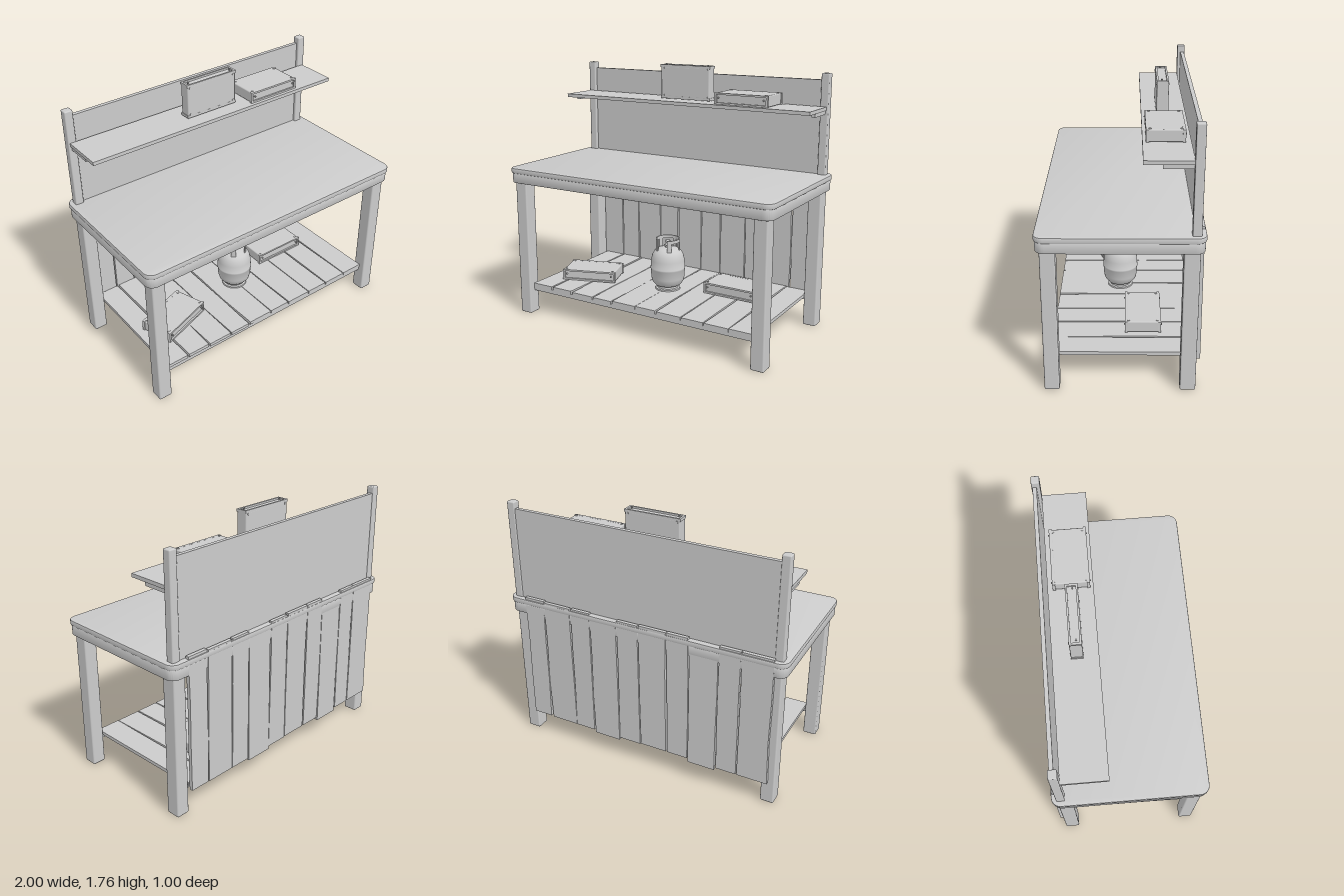
import * as THREE from 'three';
import { RoundedBoxGeometry } from 'three/addons/geometries/RoundedBoxGeometry.js';
import { toCreasedNormals } from 'three/addons/utils/BufferGeometryUtils.js';

const grey = new THREE.MeshStandardMaterial({ color: 0xcccccc, side: THREE.DoubleSide });

function add(parent, name, geometry, x = 0, y = 0, z = 0) {
  const mesh = new THREE.Mesh(geometry, grey);
  mesh.name = name;
  mesh.position.set(x, y, z);
  parent.add(mesh);
  return mesh;
}

// Block given by its minimum and maximum corners, with softened edges if r > 0
function block(parent, name, [x0, y0, z0], [x1, y1, z1], r = 0) {
  const size = [x1 - x0, y1 - y0, z1 - z0];
  const geometry = r ? new RoundedBoxGeometry(...size, 2, r) : new THREE.BoxGeometry(...size);
  return add(parent, name, geometry, (x0 + x1) / 2, (y0 + y1) / 2, (z0 + z1) / 2);
}

let seed = 7;
function wobble(amount) {
  seed = (seed * 16807) % 2147483647;
  return (seed / 2147483647 - 0.5) * 2 * amount;
}

// Horizontal slab with rounded corners and a small bevel
function slab(halfX, halfZ, radius, y0, y1, bevel) {
  const x = halfX - bevel, z = halfZ - bevel, r = radius;
  const s = new THREE.Shape();
  s.moveTo(-x + r, -z);
  s.lineTo(x - r, -z).absarc(x - r, -z + r, r, -Math.PI / 2, 0);
  s.lineTo(x, z - r).absarc(x - r, z - r, r, 0, Math.PI / 2);
  s.lineTo(-x + r, z).absarc(-x + r, z - r, r, Math.PI / 2, Math.PI);
  s.lineTo(-x, -z + r).absarc(-x + r, -z + r, r, Math.PI, Math.PI * 1.5);
  const g = new THREE.ExtrudeGeometry(s, {
    depth: y1 - y0 - 2 * bevel, bevelSize: bevel, bevelThickness: bevel, bevelSegments: 2, curveSegments: 8,
  });
  g.rotateX(-Math.PI / 2).translate(0, y0 + bevel, 0);
  return toCreasedNormals(g, 0.6);
}

// Rough row of planks; long = 'y' for the back, 'z' for the lower shelf
function planks(parent, name, seams, long, min, max, thickness) {
  for (let i = 0; i < seams.length - 1; i++) {
    const w = seams[i + 1] - seams[i] - 0.008;
    const length = max - min;
    const g = long === 'y' ? new THREE.BoxGeometry(w, length, thickness, 1, 3, 1)
      : new THREE.BoxGeometry(w, thickness, length, 1, 1, 3);
    const p = g.attributes.position;
    const shifts = Array.from({ length: 8 }, () => wobble(0.004));
    const tilt = wobble(0.003);
    for (let k = 0; k < p.count; k++) {
      const t = (long === 'y' ? p.getY(k) : p.getZ(k)) / length + 0.5;
      const side = p.getX(k) > 0 ? 4 : 0;
      p.setX(k, p.getX(k) + shifts[side + Math.round(t * 3)]);
      const lift = tilt * (t - 0.5) * 2;
      if (long === 'y') p.setZ(k, p.getZ(k) + lift);
      else p.setY(k, p.getY(k) + lift);
    }
    const plank = add(parent, name, toCreasedNormals(g, 0.3), (seams[i] + seams[i + 1]) / 2);
    const end = (i === 2 || i === 6) ? -0.02 : wobble(0.004);
    if (long === 'y') plank.position.set(plank.position.x, (min + max) / 2 + end, -0.484);
    else plank.position.set(plank.position.x, 0.207 + wobble(0.003), (min + max) / 2);
  }
}

// Flat case: main faces up and down, recessed framed faces at front and back
function makeCase(parent, x, y, z) {
  const box = new THREE.Group();
  box.name = 'storageCase';
  box.position.set(x, y, z);
  parent.add(box);
  const w = 0.195, h = 0.038, d = 0.117;
  block(box, 'caseBody', [-w + 0.004, -h, -d + 0.012], [w - 0.004, h, d - 0.012], 0.008);
  for (const s of [-1, 1]) {
    const frame = new THREE.Shape();
    frame.moveTo(-w, -h).lineTo(w, -h).lineTo(w, h).lineTo(-w, h).closePath();
    const hole = new THREE.Path();
    const a = w - 0.014, b = h - 0.012;
    hole.moveTo(-a, -b).lineTo(-a, b).lineTo(a, b).lineTo(a, -b).closePath();
    frame.holes.push(hole);
    add(box, 'caseRim', new THREE.ExtrudeGeometry(frame, { depth: 0.018, bevelEnabled: false }),
      0, 0, s > 0 ? d - 0.018 : -d);
    for (const sx of [-1, 1]) {
      for (const sz of [-1, 1]) {
        add(box, 'caseScrew', new THREE.CylinderGeometry(0.008, 0.008, 0.008, 12), sx * 0.172, s * h, sz * 0.093);
      }
      const stud = add(box, 'caseStud', new THREE.CylinderGeometry(0.005, 0.006, 0.012, 10), sx * 0.165, 0.006, s * d);
      stud.rotation.x = Math.PI / 2;
    }
  }
  return box;
}

function makeGasBottle() {
  const bottle = new THREE.Group();
  bottle.name = 'gasBottle';
  bottle.position.set(0, 0.218, 0.006);
  const lathe = (name, pts) => add(bottle, name, toCreasedNormals(
    new THREE.LatheGeometry(pts.map(([r, y]) => new THREE.Vector2(r, y)), 40), 0.7));
  lathe('bottleBody', [[0, 0.022], [0.06, 0.024], [0.09, 0.037], [0.108, 0.06], [0.116, 0.09], [0.12, 0.15],
    [0.122, 0.153], [0.122, 0.163], [0.12, 0.166], [0.117, 0.215], [0.109, 0.25], [0.094, 0.277],
    [0.07, 0.294], [0.035, 0.302], [0, 0.303]]);
  lathe('footRing', [[0.07, 0.04], [0.074, 0.016], [0.086, 0.012], [0.088, 0], [0.078, 0], [0.066, 0.014], [0.062, 0.04]]);
  // Guard collar with one opening towards the front
  const arc = (name, from, sweep, y0, y1) => {
    const wall = new THREE.Shape();
    wall.absarc(0, 0, 0.084, from, from + sweep, false);
    wall.absarc(0, 0, 0.076, from + sweep, from, true);
    const g = new THREE.ExtrudeGeometry(wall, { depth: y1 - y0, bevelEnabled: false, curveSegments: 28 });
    add(bottle, name, toCreasedNormals(g.rotateX(-Math.PI / 2), 0.6), 0, y0, 0);
  };
  arc('collarRing', -1.1, Math.PI * 2 - 0.95, 0.345, 0.368);
  for (const angle of [-1.1, 0.25, 1.25, 2.6, 3.8]) arc('collarPost', angle, 0.4, 0.275, 0.35);
  // Valve
  add(bottle, 'valveStem', new THREE.CylinderGeometry(0.014, 0.02, 0.04, 16), 0, 0.315, 0);
  add(bottle, 'valveKnob', new THREE.CylinderGeometry(0.018, 0.018, 0.014, 8), 0, 0.345, 0);
  const outlet = add(bottle, 'valveOutlet', new THREE.CylinderGeometry(0.009, 0.009, 0.04, 12), 0, 0.325, 0.02);
  outlet.rotation.x = Math.PI / 2;
  return bottle;
}

export function createModel() {
  seed = 7;
  const model = new THREE.Group();
  model.name = 'workbench';

  // Legs, back posts and shelf brackets
  for (const s of [-1, 1]) {
    const span = (a, b) => (s > 0 ? [a, b] : [-b, -a]);
    const [l0, l1] = span(0.87, 0.962);
    block(model, 'frontLeg', [l0, 0, 0.375], [l1, 0.98, 0.469], 0.01);
    block(model, 'backLeg', [l0, 0, -0.467], [l1, 0.98, -0.37], 0.01);
    const [p0, p1] = span(0.91, 0.966);
    block(model, 'backPost', [p0, 1.04, -0.469], [p1, 1.735, -0.414], 0.008);
    const [b0, b1] = span(0.922, 0.948);
    block(model, 'shelfBracket', [b0, 1.468, -0.416], [b1, 1.494, -0.237]);
  }

  // Table top: apron and slab
  add(model, 'apron', slab(0.994, 0.494, 0.055, 0.96, 1.03, 0.004));
  add(model, 'tableTop', slab(1, 0.5, 0.055, 1.028, 1.064, 0.006));

  // Upper back panel and shelf
  block(model, 'backPanel', [-0.915, 1.05, -0.462], [0.915, 1.69, -0.436]);
  block(model, 'upperShelf', [-0.955, 1.494, -0.416], [0.955, 1.518, -0.128]);

  // Plank back and lower shelf on its two rails
  planks(model, 'backPlank', [-0.92, -0.71, -0.56, -0.36, -0.2, 0, 0.16, 0.36, 0.51, 0.72, 0.87], 'y', 0.167, 1.078, 0.024);
  planks(model, 'shelfPlank', [-0.868, -0.7, -0.53, -0.35, -0.19, 0, 0.16, 0.35, 0.52, 0.7, 0.868], 'z', -0.465, 0.428, 0.024);
  block(model, 'frontRail', [-0.88, 0.166, 0.395], [0.88, 0.197, 0.422]);
  block(model, 'backRail', [-0.88, 0.166, -0.45], [0.88, 0.197, -0.42]);

  // Cases on the shelves
  makeCase(model, 0.462, 1.558, -0.265);
  makeCase(model, -0.005, 1.642, -0.262).rotation.x = Math.PI / 2;
  makeCase(model, 0.462, 0.262, -0.145);
  makeCase(model, -0.588, 0.262, 0.09).rotation.y = 0.33;

  model.add(makeGasBottle());
  return model;
}
